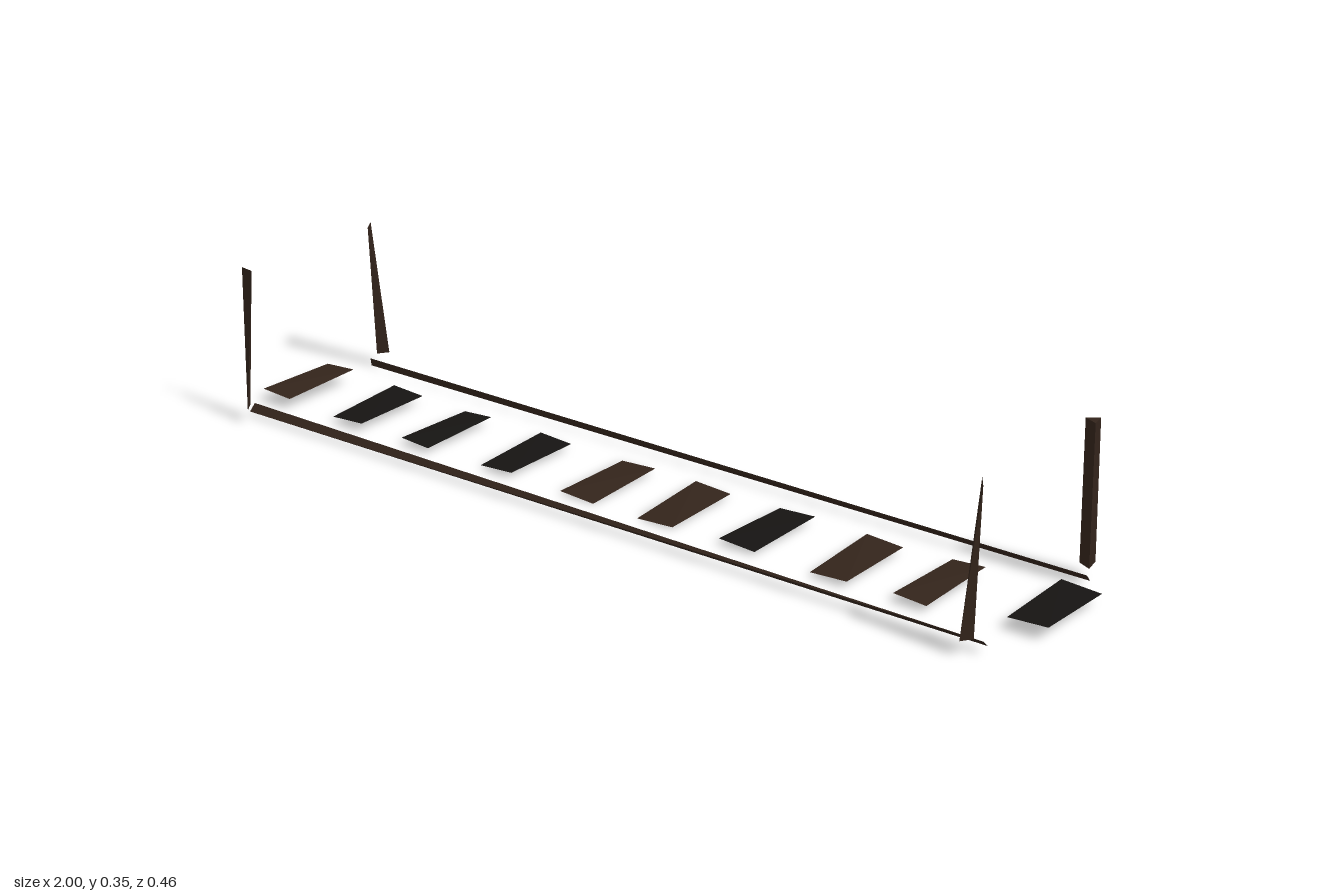
import * as THREE from 'three';
import { ConvexGeometry } from 'three/addons/geometries/ConvexGeometry.js';

const brown = new THREE.MeshStandardMaterial({ color: 0x33241b });
const dark = new THREE.MeshStandardMaterial({ color: 0x161412 });

// Low-poly sliver: the solid spanned by a few end corners
function sliver(name, corners, material = brown) {
  const geometry = new ConvexGeometry(corners.map((c) => new THREE.Vector3(...c)));
  const mesh = new THREE.Mesh(geometry, material);
  mesh.name = name;
  return mesh;
}

// Upright post spanned by [x, z] corners at the bottom and at the top
function post(name, bottom, top) {
  return sliver(name, [
    ...bottom.map(([x, z]) => [x, 0.032, z]),
    ...top.map(([x, z]) => [x, 0.346, z]),
  ]);
}

// Two end corners of an edge, from its centre [x, z] and direction [dx, dz]
const edge = ([x, z], [dx, dz]) => [-0.5, 0.5].map((k) => [x + k * dx, z + k * dz]);

export function createModel() {
  const model = new THREE.Group();
  model.name = 'plankBridge';

  // Treads: centre x, width, centre z, centre y, rise towards the back, material
  const planks = new THREE.Group();
  planks.name = 'planks';
  [
    [-0.955, 0.08, 0.015, 0.031, 0.005, brown],
    [-0.748, 0.085, 0.012, 0.021, 0.006, dark],
    [-0.547, 0.076, 0.012, 0.017, 0.004, dark],
    [-0.328, 0.085, 0.005, 0.013, 0.004, dark],
    [-0.107, 0.088, 0.003, 0.008, 0.008, brown],
    [0.093, 0.09, 0.003, 0.0075, 0.009, brown],
    [0.303, 0.088, 0.003, 0.013, 0.003, dark],
    [0.528, 0.087, 0.014, 0.015, 0.005, brown],
    [0.718, 0.076, 0.01, 0.02, 0.005, brown],
    [0.954, 0.09, -0.024, 0.028, -0.001, dark],
  ].forEach(([x, w, z, y, rise, material], i) => {
    const side = i % 2 ? 1 : -1;
    const skew = side * 0.002;
    const roll = side * 0.0025;
    const h = w / 2;
    // Front edge rolls one way, back edge the other
    planks.add(sliver('plank' + (i + 1), [
      [x - h + skew, y - rise / 2 - roll, z + 0.1], [x + h + skew, y - rise / 2 + roll, z + 0.1],
      [x - h - skew, y + rise / 2 + roll, z - 0.1], [x + h - skew, y + rise / 2 - roll, z - 0.1],
    ], material));
  });
  model.add(planks);

  // Long side ropes, their end edges turned against each other
  model.add(sliver('frontRope', [
    [-0.96, 0.011, 0.195], [-0.96, 0.026, 0.179],
    [0.935, 0.028, 0.195], [0.935, 0.013, 0.179],
  ]));
  model.add(sliver('backRope', [
    [-0.95, 0.008, -0.182], [-0.95, 0.026, -0.179],
    [0.935, 0.012, -0.185], [0.935, 0.028, -0.172],
  ]));

  // Corner posts leaning inwards
  model.add(post('frontRightPost',
    edge([-0.94, 0.216], [0.02, 0.028]), edge([-0.942, 0.2], [0.034, 0.005])));
  model.add(post('frontLeftPost',
    edge([0.912, 0.216], [0.016, -0.024]), edge([0.922, 0.2], [0.024, 0.034])));
  model.add(post('backRightPost',
    edge([-0.94, -0.211], [0.016, -0.024]), edge([-0.942, -0.182], [0.022, 0.033])));
  model.add(post('backLeftPost',
    [[0.919, -0.23], [0.897, -0.207], [0.927, -0.193]],
    [[0.931, -0.198], [0.908, -0.18], [0.938, -0.166]]));

  return model;
}
